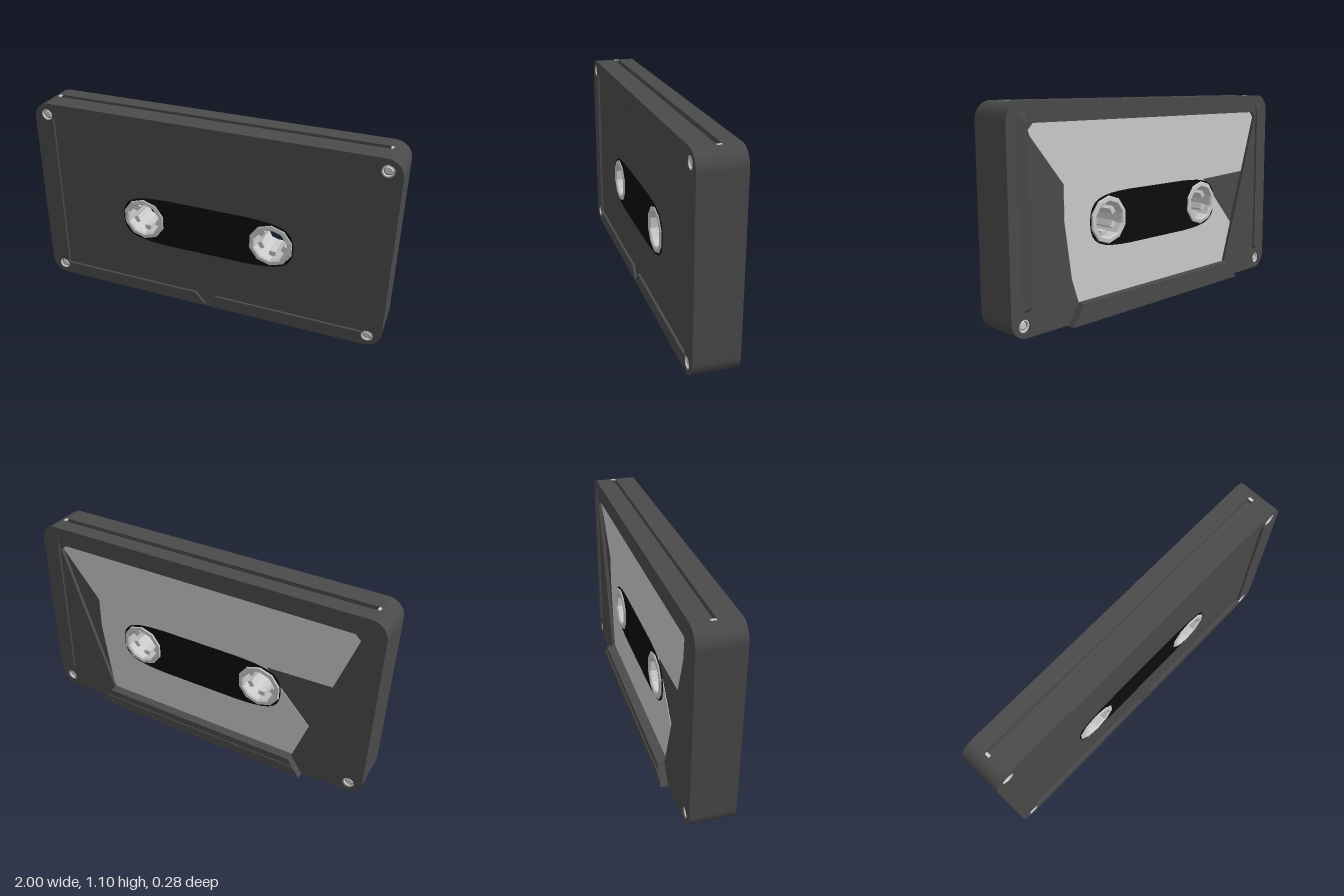
import * as THREE from 'three';

const mat = (color, flat = false) => new THREE.MeshStandardMaterial({ color, flatShading: flat });
const dark = mat(0x4a4a4a, true), black = mat(0x0c0c0c), grey = mat(0xcccccc, true);
const HUB_X = 0.37, HUB_Y = 0.49;

const poly = (pts) => new THREE.Shape(pts.map(([x, y]) => new THREE.Vector2(x, y)));

function circle(x, y, r) {
  const p = new THREE.Path();
  p.absarc(x, y, r, 0, Math.PI * 2, true);
  return p;
}

// Rounded outline of the shell; notch > 0 lowers the top edge to cut the slot
function outline(notch = 0) {
  const s = new THREE.Shape(), w = 1, b = 0.005, t = 1.1, r = 0.09;
  s.moveTo(-w + r, b);
  s.lineTo(w - r, b);
  s.absarc(w - r, b + r, r, -Math.PI / 2, 0, false);
  s.absarc(w - r, t - r, r, 0, Math.PI / 2, false);
  if (notch) {
    s.lineTo(0.91, t - notch);
    s.lineTo(-0.91, t - notch);
  }
  s.absarc(-w + r, t - r, r, Math.PI / 2, Math.PI, false);
  s.absarc(-w + r, b + r, r, Math.PI, Math.PI * 1.5, false);
  return s;
}

function withHubHoles(shape) {
  for (const s of [-1, 1]) shape.holes.push(circle(s * HUB_X, HUB_Y, 0.108));
  return shape;
}

export function createModel() {
  const root = new THREE.Group();
  const add = (name, geo, material, parent = root) => {
    const m = new THREE.Mesh(geo, material);
    m.name = name;
    parent.add(m);
    return m;
  };
  const slab = (name, shape, z0, z1, material) => {
    const g = new THREE.ExtrudeGeometry(shape, { depth: z1 - z0, bevelEnabled: false, curveSegments: 8 });
    return add(name, g.translate(0, 0, z0), material);
  };

  // Shell layers; the middle one leaves a slot along the top
  slab('frontShell', withHubHoles(outline()), 0.026, 0.126, dark);
  slab('slotLayer', withHubHoles(outline(0.025)), -0.006, 0.026, dark);
  slab('backShell', withHubHoles(outline()), -0.075, -0.006, dark);

  // Front frame around a sunken panel with pointed notches
  const front = outline();
  front.holes.push(poly([
    [-0.89, 0.08], [-0.06, 0.08], [0, 0.015], [0.06, 0.08], [0.89, 0.08],
    [0.89, 1.02], [0.06, 1.02], [0, 1.09], [-0.06, 1.02], [-0.89, 1.02]]));
  // Back frame around a sunken trapezoid
  const back = outline();
  back.holes.push(poly([[-0.59, 0.1], [0.59, 0.1], [0.88, 0.97], [0.85, 1.0], [-0.85, 1.0], [-0.88, 0.97]]));
  for (const x of [-0.925, 0.925]) {
    for (const y of [0.065, 1.035]) front.holes.push(circle(x, y, 0.033));
    back.holes.push(circle(x, 0.065, 0.033));
  }
  slab('frontFrame', front, 0.126, 0.14, dark);
  slab('backFrame', back, -0.095, -0.075, dark);

  // Grey label in the back recess
  const label = poly([
    [-0.6, 0.1], [0.6, 0.1], [0.66, 0.52], [0.66, 0.7], [0.88, 0.97], [0.85, 1.0],
    [-0.85, 1.0], [-0.88, 0.97], [-0.78, 0.64], [-0.4, 0.625], [-0.68, 0.32]]);
  slab('backLabel', withHubHoles(label), -0.078, -0.075, grey);

  // Black window on both faces, bulging at the ends
  const windowShape = () => {
    const s = new THREE.Shape();
    s.moveTo(-0.22, 0.347);
    s.lineTo(0.22, 0.347);
    s.bezierCurveTo(0.42, 0.352, 0.495, 0.37, 0.495, HUB_Y);
    s.bezierCurveTo(0.495, 0.61, 0.42, 0.628, 0.22, 0.633);
    s.lineTo(-0.22, 0.633);
    s.bezierCurveTo(-0.42, 0.628, -0.495, 0.61, -0.495, HUB_Y);
    s.bezierCurveTo(-0.495, 0.37, -0.42, 0.352, -0.22, 0.347);
    return withHubHoles(s);
  };
  slab('frontWindow', windowShape(), 0.126, 0.129, black);
  slab('backWindow', windowShape(), -0.082, -0.078, black);

  // Toothed hubs, open right through
  const profile = [
    [0.106, -0.083], [0.106, 0.127], [0.125, 0.127], [0.12, 0.133], [0.1, 0.135], [0.092, 0.127],
    [0.092, -0.083], [0.1, -0.092], [0.12, -0.09], [0.125, -0.083], [0.106, -0.083],
  ].map(([r, y]) => new THREE.Vector2(r, y));
  for (const s of [-1, 1]) {
    const hub = new THREE.Group();
    hub.name = s > 0 ? 'leftHub' : 'rightHub';
    hub.position.set(s * HUB_X, HUB_Y, 0);
    root.add(hub);
    add('hubRing', new THREE.LatheGeometry(profile, 10).rotateX(Math.PI / 2), grey, hub);
    for (let i = 0; i < 6; i++) {
      const tooth = new THREE.BoxGeometry(0.036, 0.03, 0.13).translate(0, 0.077, 0.02);
      add('hubTooth', tooth.rotateZ(i * Math.PI / 3), grey, hub);
    }
  }

  // Screws sunk in the corners: four in front, two behind
  const screw = (x, y, z, dir) => {
    const g = new THREE.Group();
    g.name = 'screw';
    g.position.set(x, y, z);
    if (dir < 0) g.rotation.y = Math.PI;
    root.add(g);
    const rim = [[0.032, 0], [0.032, 0.013], [0.026, 0.013], [0.023, 0.004]].map(([r, h]) => new THREE.Vector2(r, h));
    add('screwRim', new THREE.LatheGeometry(rim, 16).rotateX(Math.PI / 2), grey, g);
    add('screwHead', new THREE.CylinderGeometry(0.017, 0.022, 0.009, 12).rotateX(Math.PI / 2).translate(0, 0, 0.0045), grey, g);
  };
  for (const x of [-0.925, 0.925]) {
    for (const y of [0.065, 1.035]) screw(x, y, 0.126, 1);
    screw(x, 0.065, -0.075, -1);
  }

  // Raised trapezoid lip along the bottom of the back, with a thin rail
  slab('backLip', poly([[-0.66, 0], [0.66, 0], [0.59, 0.105], [-0.59, 0.105]]), -0.134, -0.09, dark);
  slab('lipRail', poly([[-0.63, 0.045], [0.63, 0.045], [0.617, 0.065], [-0.617, 0.065]]), -0.14, -0.134, dark);

  // Thin slanted ridges beside the back recess
  for (const s of [-1, 1]) {
    const v = [[0.945, 1.06, -0.094], [0.89, 0.99, -0.107], [0.89, 0.15, -0.107], [0.945, 0.13, -0.094],
      [0.89, 1.06, -0.094], [0.89, 0.13, -0.094]].flatMap(([x, y, z]) => [x * s, y, z]);
    const faces = [0, 2, 1, 0, 3, 2, 0, 1, 4, 3, 5, 2, 1, 2, 5, 1, 5, 4];
    const g = new THREE.BufferGeometry();
    g.setAttribute('position', new THREE.Float32BufferAttribute(v, 3));
    g.setIndex(faces);
    g.computeVertexNormals();
    const ridgeMat = dark.clone();
    ridgeMat.side = THREE.DoubleSide;
    add(s > 0 ? 'leftRidge' : 'rightRidge', g, ridgeMat);
  }

  // Grey ends of the top slot
  for (const x of [-0.915, 0.915]) {
    add('slotEnd', new THREE.BoxGeometry(0.014, 0.006, 0.026).translate(x, 1.098, 0.01), grey);
  }
  return root;
}
